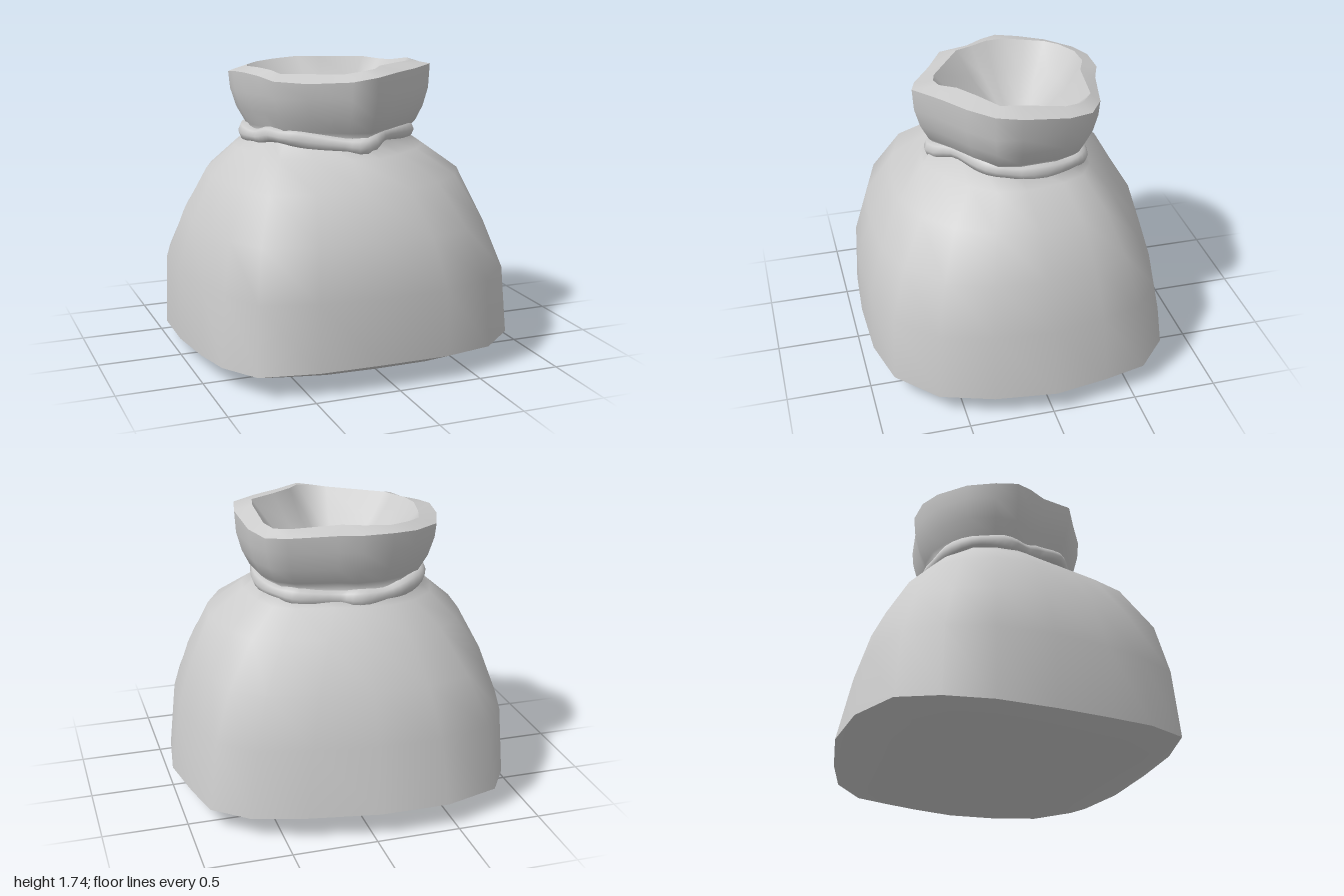
import * as THREE from 'three';
import { mergeVertices } from 'three/addons/utils/BufferGeometryUtils.js';

const N = 20;
const material = new THREE.MeshStandardMaterial({ color: 0xcccccc });

// Bottom outline as [x, z], starting at -x and running round the back
const baseOutline = [
  [-1, 0], [-1, -0.34], [-0.93, -0.61], [-0.79, -0.83], [-0.45, -0.95],
  [-0.04, -0.96], [0.37, -0.87], [0.68, -0.77], [0.88, -0.59], [0.94, -0.34],
  [1, -0.02], [0.95, 0.34], [0.85, 0.65], [0.62, 0.87], [0.32, 0.945],
  [-0.08, 0.955], [-0.45, 0.93], [-0.78, 0.84], [-0.91, 0.59], [-0.96, 0.34]];
// Outer and inner edges of the mouth as [x, y, z], in the same order
const rimOuter = [
  [-0.62, 1.69, -0.06], [-0.61, 1.67, -0.2], [-0.55, 1.655, -0.36], [-0.38, 1.665, -0.49],
  [-0.23, 1.675, -0.54], [-0.05, 1.675, -0.54], [0.08, 1.67, -0.49], [0.36, 1.66, -0.43],
  [0.47, 1.65, -0.35], [0.53, 1.665, -0.2], [0.55, 1.7, 0.07], [0.52, 1.715, 0.22],
  [0.37, 1.71, 0.35], [0.2, 1.705, 0.46], [0.03, 1.7, 0.59], [-0.11, 1.675, 0.55],
  [-0.33, 1.66, 0.42], [-0.5, 1.67, 0.32], [-0.53, 1.68, 0.14], [-0.58, 1.69, 0.04]];
const rimInner = [
  [-0.51, 1.71, -0.08], [-0.49, 1.695, -0.21], [-0.45, 1.69, -0.33], [-0.37, 1.695, -0.4],
  [-0.24, 1.7, -0.46], [-0.08, 1.71, -0.46], [0.04, 1.71, -0.41], [0.33, 1.7, -0.38],
  [0.41, 1.69, -0.31], [0.44, 1.695, -0.2], [0.445, 1.735, 0.05], [0.42, 1.735, 0.17],
  [0.27, 1.735, 0.26], [0.14, 1.735, 0.35], [0.07, 1.73, 0.44], [-0.02, 1.72, 0.455],
  [-0.12, 1.705, 0.43], [-0.43, 1.7, 0.23], [-0.45, 1.71, 0.13], [-0.49, 1.715, 0.03]];
const ropeHeight = [1.31, 1.32, 1.32, 1.3, 1.28, 1.27, 1.27, 1.28, 1.29, 1.29,
  1.3, 1.32, 1.33, 1.33, 1.29, 1.3, 1.32, 1.34, 1.33, 1.31];

const ring = (fn) => Array.from({ length: N }, (_, i) => fn(i));

// Skin a stack of closed rings with smooth normals
function loft(name, rings) {
  const pos = rings.flat().flat();
  const index = [];
  const n = rings[0].length;
  for (let r = 0; r < rings.length - 1; r++) {
    for (let i = 0; i < n; i++) {
      const j = (i + 1) % n;
      const a = r * n + i, b = r * n + j, c = b + n, d = a + n;
      index.push(a, d, c, a, c, b);
    }
  }
  let geometry = new THREE.BufferGeometry();
  geometry.setAttribute('position', new THREE.Float32BufferAttribute(pos, 3));
  geometry.setIndex(index);
  geometry = mergeVertices(geometry);
  geometry.computeVertexNormals();
  const mesh = new THREE.Mesh(geometry, material);
  mesh.name = name;
  return mesh;
}

// Bottom edge: lowest on the right side, rising to the front and back
const baseY = (i) => {
  const [x, z] = baseOutline[i];
  return 0.115 + 0.015 * x + 0.035 * z * z - 0.03 * Math.max(0, x) * Math.abs(z);
};
const neck = (i, s) => [rimOuter[i][0] * s - 0.025, rimOuter[i][2] * s];

// Body ring: base outline drawn in towards the neck; pull holds eight amounts
// round the sack, from -x by the back to +x and the front
function bodyRing(y, pull) {
  return ring((i) => {
    const d = (i / N) * 8, f = Math.floor(d);
    const k = THREE.MathUtils.lerp(pull[f], pull[(f + 1) % 8], d - f);
    const [bx, bz] = baseOutline[i], [nx, nz] = neck(i, 0.77);
    return [bx + (nx - bx) * k, y, bz + (nz - bz) * k];
  });
}

// Collar ring: scaled mouth outline
const collarRing = (y, s) => rimOuter.map(([x, , z]) => [x * s, y, z * s]);

// Base ring: shallow bulge below the bottom edge
const baseRing = (s, f) => ring((i) => [
  0.03 + (baseOutline[i][0] - 0.03) * s, baseY(i) * f, 0.08 + (baseOutline[i][1] - 0.08) * s]);

// Bowl ring: inner outline shrunk towards its lowest point
const bowlRing = (y, s) => rimInner.map(([x, , z]) => [
  -0.03 + (x + 0.03) * s, y, -0.03 + (z + 0.03) * s]);

// Lumpy cord tied round the neck
function makeRope() {
  const curve = new THREE.CatmullRomCurve3(ring((i) => {
    const [x, z] = neck(i, 0.8);
    return new THREE.Vector3(x, ropeHeight[i], z);
  }), true);
  const steps = 60, sides = 8, rings = [];
  for (let k = 0; k <= steps; k++) {
    const u = (k % steps) / steps;
    const p = curve.getPoint(u), t = curve.getTangent(u);
    const out = new THREE.Vector3(t.z, 0, -t.x).normalize();
    const radius = 0.048 + 0.007 * Math.sin(u * Math.PI * 2 * 9);
    rings.push(Array.from({ length: sides }, (_, s) => {
      const a = (-s / sides) * Math.PI * 2;
      return [p.x + out.x * Math.cos(a) * radius, p.y + Math.sin(a) * radius,
        p.z + out.z * Math.cos(a) * radius];
    }));
  }
  return loft('neckRope', rings);
}

export function createModel() {
  const group = new THREE.Group();
  group.name = 'sack';
  const bottomEdge = baseRing(1, 1);

  // Underside
  group.add(loft('base', [baseRing(0, 0), baseRing(0.45, 0.08), baseRing(0.8, 0.4), bottomEdge]));

  // Full body up through the pinched neck to the flared collar
  group.add(loft('body', [
    bottomEdge,
    bodyRing(0.53, [0, 0.07, 0.16, 0.1, 0.09, 0.04, 0, 0.07]),
    bodyRing(0.82, [0.19, 0.3, 0.33, 0.29, 0.24, 0.22, 0.17, 0.17]),
    bodyRing(1.08, [0.45, 0.57, 0.62, 0.6, 0.44, 0.47, 0.45, 0.44]),
    bodyRing(1.23, [0.8, 0.84, 0.87, 0.85, 0.8, 0.8, 0.8, 0.8]),
    bodyRing(1.31, Array(8).fill(1)),
    collarRing(1.37, 0.85), collarRing(1.46, 0.93), collarRing(1.57, 0.985), rimOuter]));

  // Thick rim, sloping up to its inner edge, and the hollow inside it
  group.add(loft('rim', [rimOuter, rimInner]));
  group.add(loft('mouthHollow', [rimInner, bowlRing(1.56, 0.74), bowlRing(1.42, 0.37), bowlRing(1.3, 0)]));

  group.add(makeRope());
  return group;
}
